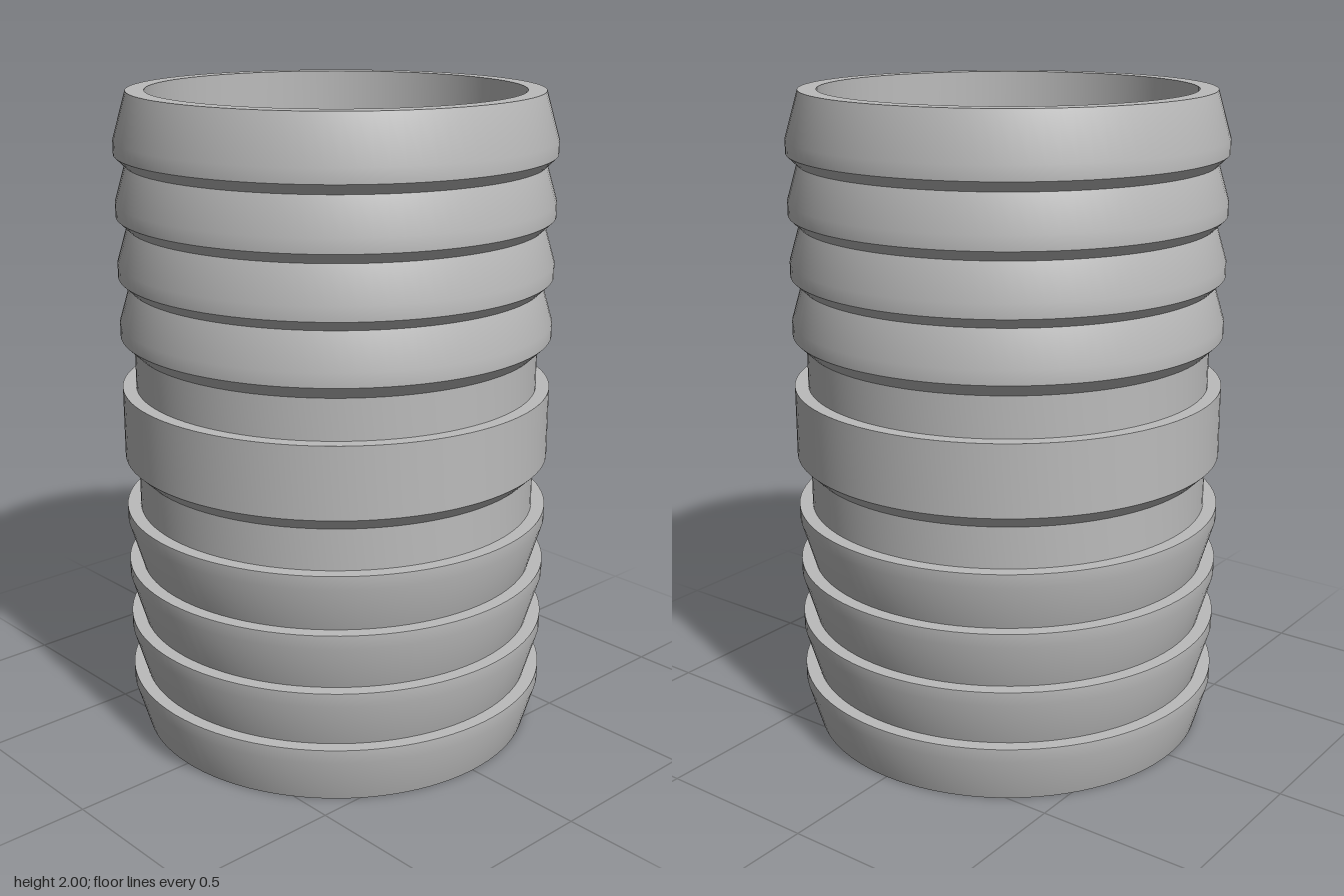
import * as THREE from 'three';
import { toCreasedNormals } from 'three/addons/utils/BufferGeometryUtils.js';

const CORE = 0.617;   // tube radius between the ridges
const RIDGE = 0.658;  // outer radius of barbs and collar
const BORE = 0.562;   // inner radius
const PITCH = 0.1818; // height of one barb

export function createModel() {
  const group = new THREE.Group();
  group.name = 'hoseConnector';
  const grey = new THREE.MeshStandardMaterial({ color: 0xbbbbbb });
  grey.name = 'plainGrey';

  const profile = [];
  const add = (r, y) => profile.push(new THREE.Vector2(r, y));

  // Lower barbs: flare upward, flat ledge on top
  for (let i = 0; i < 4; i++) {
    const y = i * PITCH;
    add(CORE, y);
    add(RIDGE, y + 0.14);
    add(RIDGE, y + PITCH);
  }
  add(CORE, 4 * PITCH);

  // Middle collar: chamfered below, flat on top
  add(CORE, 0.853);
  add(RIDGE, 0.893);
  add(RIDGE, 1.11);
  add(CORE, 1.11);

  // Upper barbs: chamfered underside, tapering upward
  add(CORE, 1.233);
  for (let i = 3; i >= 0; i--) {
    const top = 2 - i * PITCH;
    add(RIDGE, top - PITCH);
    add(RIDGE, top - 0.14);
    // the taper meets the chamfer of the barb above
    if (i > 0) add(0.626, top - 0.031);
  }
  add(CORE, 2);

  // Straight bore, closing the wall
  add(BORE, 2);
  add(BORE, 0);
  add(CORE, 0);

  const geometry = toCreasedNormals(new THREE.LatheGeometry(profile, 96), 0.5);
  const tube = new THREE.Mesh(geometry, grey);
  tube.name = 'barbedTube';
  group.add(tube);
  return group;
}
